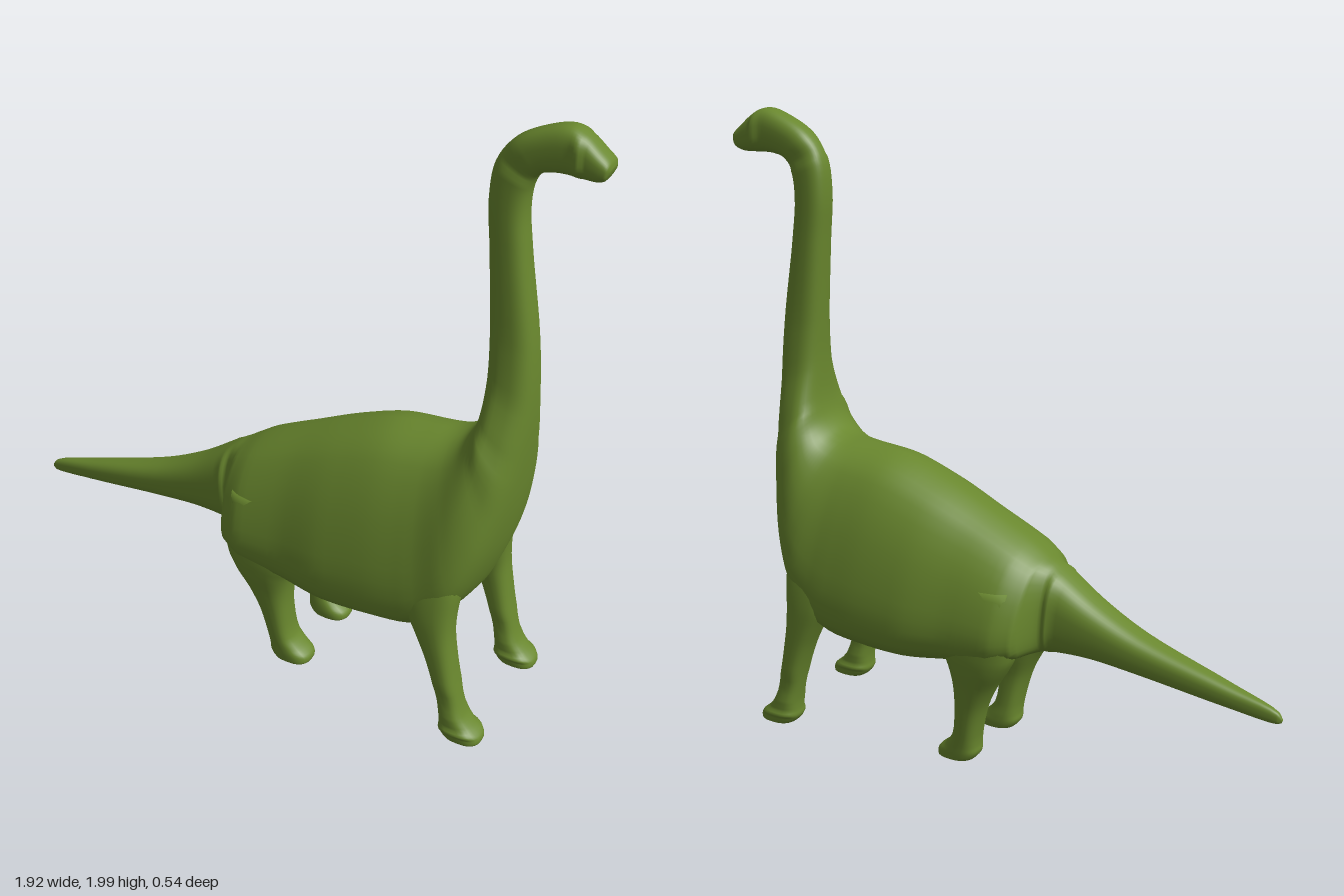
import * as THREE from 'three';

const skin = new THREE.MeshStandardMaterial({ color: 0x69872e });

// Skin a list of closed rings (counter-clockwise about the travel direction), capping both ends
function loft(name, rings) {
  const n = rings[0].length, pos = [], idx = [];
  rings.forEach(r => r.forEach(p => pos.push(p.x, p.y, p.z)));
  for (let i = 0; i < rings.length - 1; i++) {
    for (let j = 0; j < n; j++) {
      const a = i * n + j, b = i * n + (j + 1) % n;
      idx.push(a, b, a + n, b, b + n, a + n);
    }
  }
  [0, rings.length - 1].forEach((row, end) => {
    const c = new THREE.Vector3();
    rings[row].forEach(p => c.addScaledVector(p, 1 / n));
    const ci = pos.length / 3;
    pos.push(c.x, c.y, c.z);
    for (let j = 0; j < n; j++) {
      const a = row * n + j, b = row * n + (j + 1) % n;
      if (end) idx.push(ci, a, b); else idx.push(ci, b, a);
    }
  });
  const g = new THREE.BufferGeometry();
  g.setAttribute('position', new THREE.Float32BufferAttribute(pos, 3));
  g.setIndex(idx);
  g.computeVertexNormals();
  const mesh = new THREE.Mesh(g, skin);
  mesh.name = name;
  return mesh;
}

const curve = pts => new THREE.CatmullRomCurve3(pts.map(p => new THREE.Vector3(...p)));
const rounded = (v, e) => Math.sign(v) * Math.pow(Math.abs(v), e);

// Spine stations: back x, y, underside x, y, half width, torso blend
const tail = [
  [-.962, .338, -.958, .328, .004, 0], [-.945, .36, -.945, .323, .013, 0],
  [-.78, .415, -.78, .343, .035, 0], [-.5, .505, -.5, .383, .062, 0],
  [-.35, .58, -.33, .4, .08, 0], [-.24, .655, -.215, .395, .095, 0],
];
const torso = [
  [-.2, .683, -.185, .39, .11, .5], [-.165, .703, -.145, .38, .2, 1],
  [-.1, .745, -.07, .355, .235, 1], [.05, .82, .08, .325, .243, 1],
  [.2, .89, .24, .3, .266, 1], [.35, .945, .4, .3, .268, 1],
  [.48, .96, .55, .325, .262, 1], [.56, .968, .66, .43, .252, .9],
  [.602, .985, .725, .57, .225, .6],
];
const neckAndHead = [
  [.63, 1.02, .768, .75, .182, .3], [.648, 1.08, .79, .95, .132, 0],
  [.655, 1.2, .796, 1.14, .082, 0], [.65, 1.35, .785, 1.33, .064, 0],
  [.632, 1.6, .745, 1.6, .055, 0], [.62, 1.75, .732, 1.73, .052, 0],
  [.633, 1.86, .743, 1.81, .05, 0], [.68, 1.93, .77, 1.85, .05, 0],
  [.755, 1.975, .805, 1.86, .05, 0], [.84, 2, .845, 1.862, .05, 0],
  [.885, 1.982, .89, 1.86, .05, 0], [.93, 1.945, .925, 1.86, .047, 0],
  [.955, 1.922, .945, 1.868, .043, 0], [.961, 1.905, .957, 1.888, .025, 0],
];

// Half outline of the torso section: width fraction, height fraction
const torsoOutline = curve([[0, 1, 0], [.28, .97, 0], [.54, .89, 0], [.8, .69, 0], [.97, .42, 0],
  [1, .24, 0], [.92, .13, 0], [.55, .05, 0], [0, 0, 0]]);

function buildBody() {
  const stations = [...tail, ...torso, ...neckAndHead];
  const back = curve(stations.map(s => [s[0], s[1], 0]));
  const under = curve(stations.map(s => [s[2], s[3], 0]));
  const size = curve(stations.map(s => [s[4], s[5], 0]));
  const rows = (stations.length - 1) * 5, sides = 40, rings = [];
  for (let i = 0; i <= rows; i++) {
    const t = i / rows, a = back.getPoint(t), b = under.getPoint(t), s = size.getPoint(t);
    const blend = THREE.MathUtils.clamp(s.y, 0, 1);
    const ring = [];
    for (let j = 0; j < sides; j++) {
      const u = j / sides, ang = u * Math.PI * 2, side = u <= .5 ? 1 : -1;
      const o = torsoOutline.getPoint(u <= .5 ? u * 2 : 2 - u * 2);
      const w = THREE.MathUtils.lerp(rounded(Math.sin(ang), .75), o.x * side, blend);
      const h = THREE.MathUtils.lerp(.5 + .5 * rounded(Math.cos(ang), .75), o.y, blend);
      const p = b.clone().lerp(a, h);
      p.z = w * Math.max(s.x, .002);
      ring.push(p);
    }
    rings.push(ring);
  }
  return loft('body', rings);
}

// Leg stations from top to sole: y, back x, front x, inner z, outer z
const frontLeg = [
  [.66, .54, .66, .12, .22], [.55, .5, .678, .12, .25], [.45, .515, .672, .14, .262],
  [.38, .55, .672, .152, .263], [.3, .588, .682, .156, .262], [.2, .622, .7, .157, .261],
  [.1, .645, .727, .157, .261], [.06, .648, .757, .156, .262], [.035, .648, .785, .156, .262],
  [.014, .665, .787, .158, .26], [.01, .685, .77, .17, .248],
];
const hindLeg = [
  [.62, -.13, .08, .1, .2], [.5, -.15, .11, .09, .228], [.4, -.135, .105, .085, .23],
  [.35, -.11, .085, .082, .226], [.28, -.065, .072, .08, .212], [.2, -.027, .07, .085, .2],
  [.1, -.002, .083, .08, .19], [.06, .002, .112, .076, .187], [.035, .002, .14, .075, .186],
  [.014, .017, .142, .077, .184], [.01, .04, .125, .09, .17],
];

function buildLeg(name, stations, side) {
  const xs = curve(stations.map(s => [s[0], s[1], s[2]]));
  const zs = curve(stations.map(s => [s[3], s[4], 0]));
  const rows = (stations.length - 1) * 4, sides = 24, rings = [];
  for (let i = 0; i <= rows; i++) {
    const a = xs.getPoint(i / rows), z = zs.getPoint(i / rows);
    rings.push(Array.from({ length: sides }, (_, j) => {
      const ang = j / sides * Math.PI * 2;
      return new THREE.Vector3(
        (a.y + a.z) / 2 + (a.z - a.y) / 2 * rounded(Math.cos(ang), .75),
        a.x,
        side * (z.x + z.y) / 2 + (z.y - z.x) / 2 * rounded(Math.sin(ang), .75));
    }));
  }
  return loft(name, rings);
}

export function createModel() {
  const model = new THREE.Group();
  model.name = 'longNeckedDinosaur';
  model.add(buildBody());
  // The animal faces +x, so its legs mirror across z
  for (const side of [1, -1]) {
    const suffix = side > 0 ? 'Near' : 'Far';
    model.add(buildLeg('frontLeg' + suffix, frontLeg, side));
    model.add(buildLeg('hindLeg' + suffix, hindLeg, side));
  }
  return model;
}
